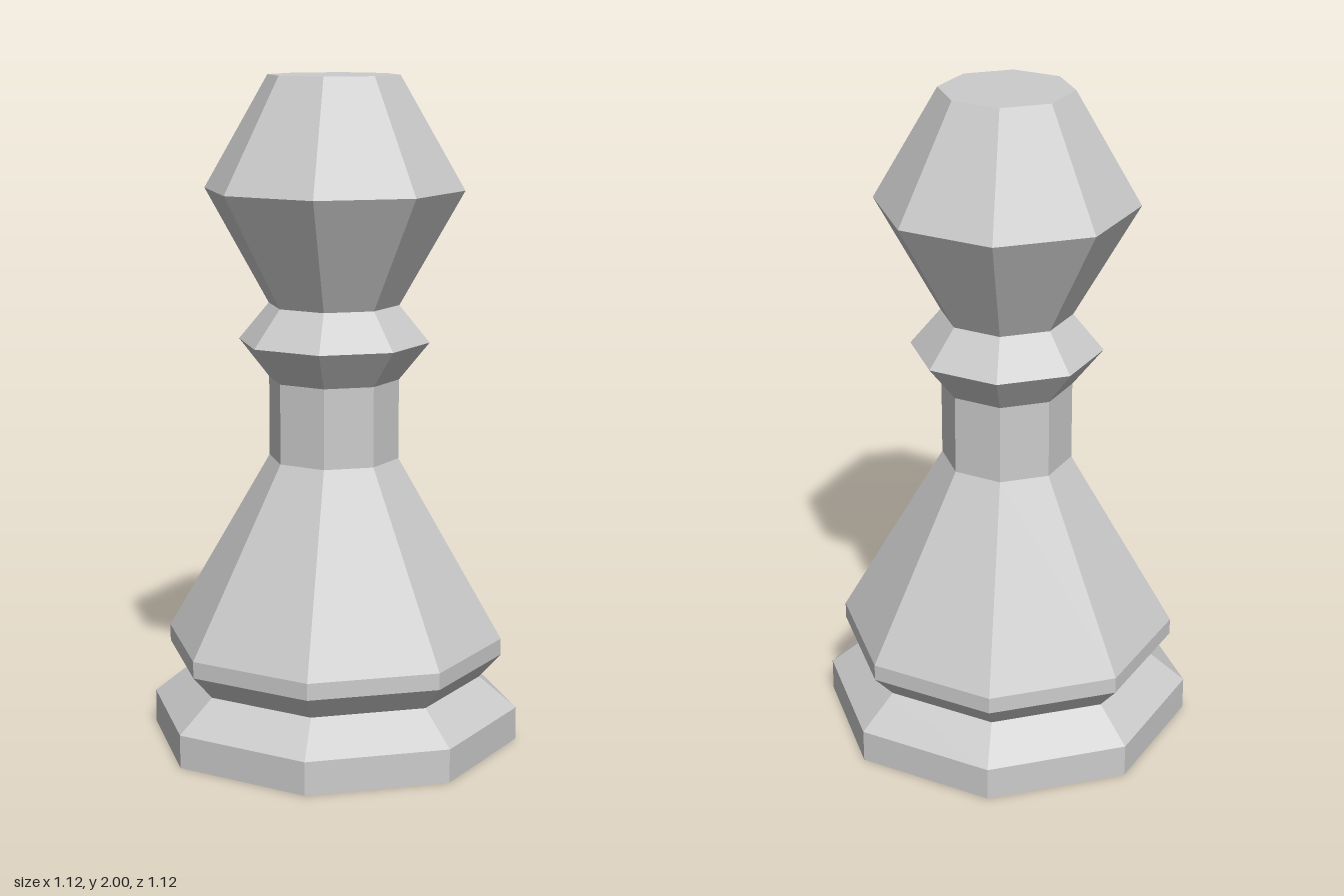
import * as THREE from 'three';

const SIDES = 8;
const material = new THREE.MeshStandardMaterial({ color: 0xcccccc, flatShading: true });

// Eight-sided band turned from a [radius, height] profile, listed bottom to top
function turned(name, profile) {
  const points = profile.map(([r, y]) => new THREE.Vector2(r, y));
  const geometry = new THREE.LatheGeometry(points, SIDES).toNonIndexed();
  geometry.computeVertexNormals();
  const mesh = new THREE.Mesh(geometry, material);
  mesh.name = name;
  return mesh;
}

// Flat octagon closing an end; facing is 1 for up, -1 for down
function cap(name, radius, y, facing) {
  const geometry = new THREE.CircleGeometry(radius, SIDES);
  geometry.rotateX(-facing * Math.PI / 2);
  geometry.translate(0, y, 0);
  const mesh = new THREE.Mesh(geometry, material);
  mesh.name = name;
  return mesh;
}

export function createModel() {
  const pawn = new THREE.Group();
  pawn.name = 'chessPawn';
  pawn.add(
    cap('underside', 0.56, 0, -1),
    // Plinth sloping in to the groove
    turned('base', [[0.56, 0], [0.56, 0.1], [0.447, 0.193]]),
    // Rim above the groove, tapering skirt and straight neck
    turned('body', [[0.447, 0.193], [0.511, 0.265], [0.511, 0.315], [0.196, 0.864], [0.196, 1.104]]),
    turned('collar', [[0.196, 1.104], [0.287, 1.217], [0.196, 1.327]]),
    turned('head', [[0.196, 1.327], [0.388, 1.667], [0.196, 2]]),
    cap('headTop', 0.196, 2, 1),
  );
  return pawn;
}
